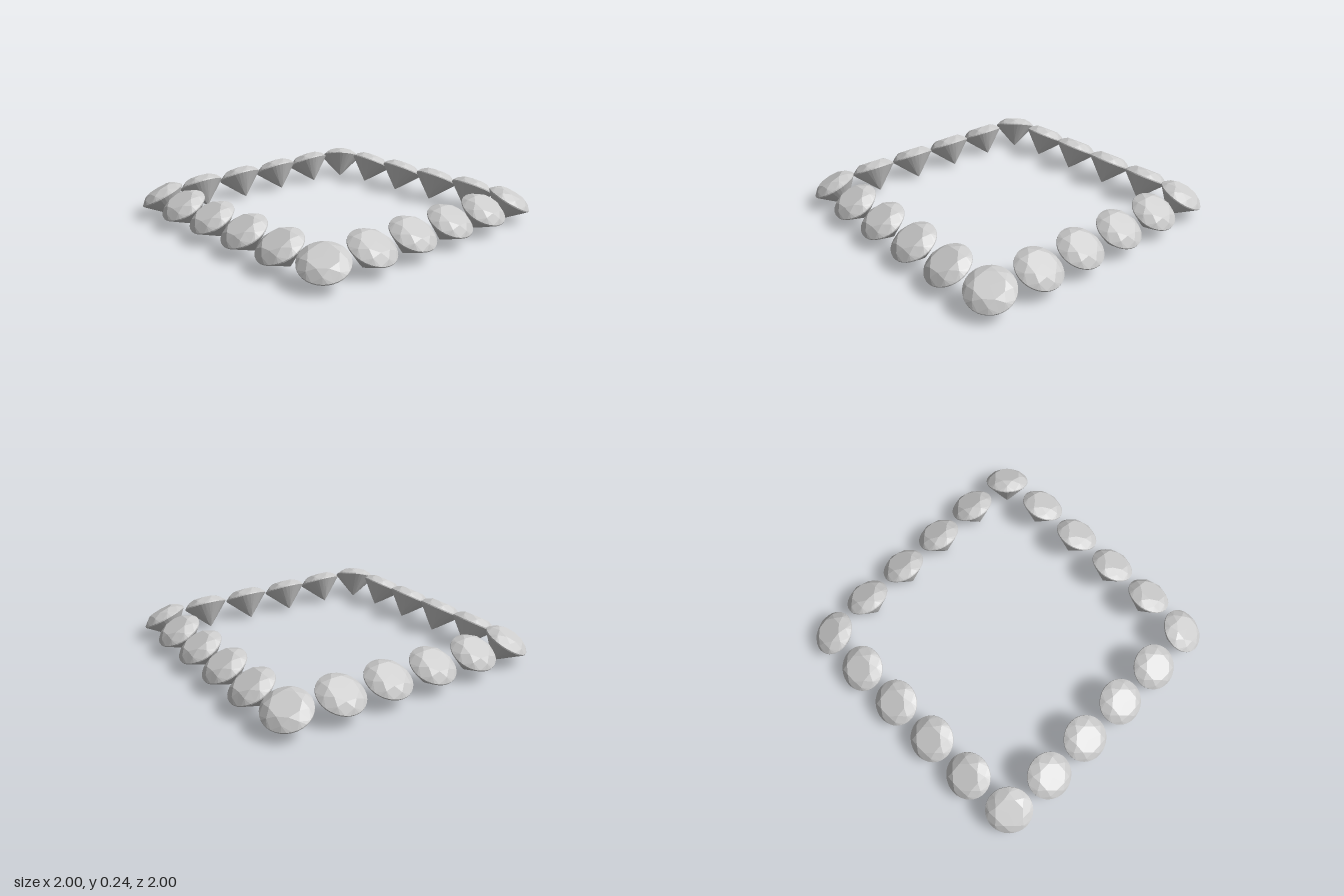
import * as THREE from 'three';

const R = 0.15; // girdle radius
const TILT = 0.485; // outward lean of every stone

// Brilliant cut: octagonal table, star, kite and girdle facets, pointed pavilion
function brilliantGeometry() {
  const verts = [];
  const step = Math.PI / 4;
  const phase = step / 2;
  const at = (r, y, i) => {
    const a = i * step + phase;
    return [r * Math.sin(a), y, r * Math.cos(a)];
  };
  const table = (i) => at(0.09, 0.052, i);
  const crown = (i) => at(0.125, 0.032, i + 0.5);
  const upper = (i) => at(R, 0.004, i);
  const lower = (i) => at(R, -0.004, i);
  const pavilion = (i) => at(0.035, -0.126, i + 0.5);
  const culet = [0, -0.16, 0];
  const tri = (...points) => points.forEach((p) => verts.push(...p));

  for (let i = 0; i < 8; i++) {
    tri([0, 0.052, 0], table(i), table(i + 1)); // table
    tri(table(i), crown(i), table(i + 1)); // star
    tri(table(i), crown(i - 1), upper(i)); // kite
    tri(table(i), upper(i), crown(i));
    tri(culet, pavilion(i), lower(i)); // pavilion main
    tri(culet, lower(i), pavilion(i - 1));
    for (let k = 0; k < 4; k++) {
      const a = i + k / 4;
      const b = i + (k + 1) / 4;
      tri(crown(i), upper(a), upper(b)); // upper girdle facets
      tri(upper(a), lower(a), lower(b)); // girdle band
      tri(upper(a), lower(b), upper(b));
      tri(pavilion(i), lower(b), lower(a)); // lower girdle facets
    }
  }
  const geometry = new THREE.BufferGeometry();
  geometry.setAttribute('position', new THREE.Float32BufferAttribute(verts, 3));
  geometry.computeVertexNormals();
  return geometry;
}

export function createModel() {
  const group = new THREE.Group();
  group.name = 'gemstoneSquare';
  const geometry = brilliantGeometry();
  const material = new THREE.MeshStandardMaterial({ color: 0xcccccc, flatShading: true });

  const addGem = (name, x, y, z, yaw) => {
    const gem = new THREE.Mesh(geometry, material);
    gem.name = name;
    gem.position.set(x, y, z);
    gem.rotation.set(TILT, yaw, 0, 'YXZ');
    group.add(gem);
  };

  // Four stones along each side and one at each corner, all leaning outward
  ['front', 'left', 'back', 'right'].forEach((side, s) => {
    const yaw = (s * Math.PI) / 2;
    const sin = Math.round(Math.sin(yaw));
    const cos = Math.round(Math.cos(yaw));
    const place = (name, along, y, out, turn) =>
      addGem(name, along * cos + out * sin, y, out * cos - along * sin, yaw + turn);
    [-0.505, -0.172, 0.168, 0.503].forEach((along, i) =>
      place(`${side}Gem${i + 1}`, along, 0.152, 0.866, 0));
    place(`${side}CornerGem`, 0.834, 0.143, 0.834, Math.PI / 4);
  });
  return group;
}
